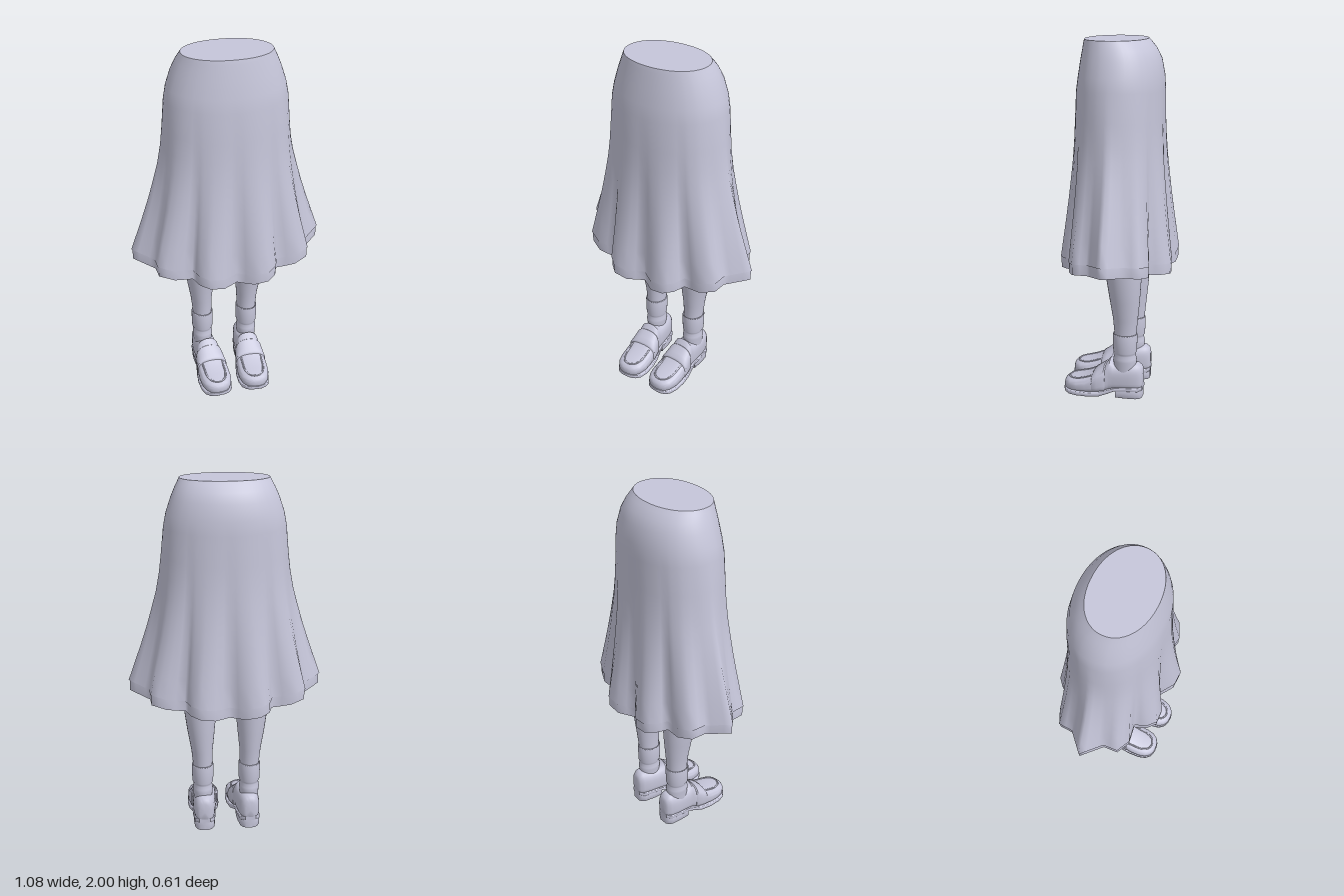
import * as THREE from 'three';
import { toCreasedNormals } from 'three/addons/utils/BufferGeometryUtils.js';

const V = (x, y, z) => new THREE.Vector3(x, y, z);
const lerp = THREE.MathUtils.lerp;

// Skin a list of closed rings, optionally capping the first and last
function loft(rings, capStart, capEnd) {
  const n = rings[0].length, pos = [], idx = [];
  rings.forEach(r => r.forEach(p => pos.push(p.x, p.y, p.z)));
  for (let i = 0; i < rings.length - 1; i++) {
    for (let j = 0; j < n; j++) {
      const k = (j + 1) % n, a = i * n + j, b = i * n + k;
      idx.push(a, b, a + n, b, b + n, a + n);
    }
  }
  const cap = (ring, start) => {
    const base = pos.length / 3, c = V(0, 0, 0);
    ring.forEach(p => { c.add(p); pos.push(p.x, p.y, p.z); });
    c.divideScalar(n);
    pos.push(c.x, c.y, c.z);
    for (let j = 0; j < n; j++) {
      const a = base + j, b = base + (j + 1) % n;
      if (start) idx.push(base + n, b, a); else idx.push(base + n, a, b);
    }
  };
  if (capStart) cap(rings[0], true);
  if (capEnd) cap(rings[rings.length - 1], false);
  const g = new THREE.BufferGeometry();
  g.setAttribute('position', new THREE.Float32BufferAttribute(pos, 3));
  g.setIndex(idx);
  g.computeVertexNormals();
  return g;
}

// ---- skirt: an oval waist blending into a ten-fold pleated hem ----
// One quarter of the hem: [angle on the hips, x, z]
const HEM = [
  [0, 0.54, 0], [9, 0.475, 0.058], [18, 0.43, 0.098], [34, 0.425, 0.18], [46, 0.345, 0.217],
  [54, 0.24, 0.2], [62, 0.215, 0.265], [72, 0.165, 0.307], [81, 0.085, 0.303], [90, 0, 0.243],
];
// Hip rows: [y, half width, front z, back z, pleat amount]
const ROWS = [
  [2, 0.24, 0.19, -0.145, 0], [1.98, 0.25, 0.195, -0.165, 0], [1.95, 0.266, 0.2, -0.19, 0],
  [1.9, 0.288, 0.21, -0.217, 0], [1.82, 0.315, 0.223, -0.233, 0], [1.75, 0.327, 0.232, -0.236, 0.01],
  [1.6, 0.332, 0.235, -0.235, 0.06], [1.5, 0.332, 0.235, -0.235, 0.12], [1.4, 0.332, 0.235, -0.235, 0.21],
  [1.3, 0.332, 0.235, -0.235, 0.34], [1.2, 0.332, 0.235, -0.235, 0.48], [1.1, 0.332, 0.235, -0.235, 0.64],
  [1, 0.332, 0.235, -0.235, 0.81], [0.89, 0.332, 0.235, -0.235, 1],
];

// Point k of 72 around the hem
function hemPoint(k) {
  const q = Math.floor(k / 18), r = (q % 2 ? 18 - (k % 18) : k % 18) / 2;
  const a = HEM[Math.floor(r)], b = HEM[Math.ceil(r)];
  const [t, x, z] = a.map((v, i) => (v + b[i]) / 2);
  return { t: THREE.MathUtils.degToRad(t), x, z, sx: q === 1 || q === 2 ? -1 : 1, sz: q > 1 ? -1 : 1 };
}

function skirtRing([y, w, front, back, pleat], drop = 0, scale = 1) {
  const ring = [];
  for (let k = 0; k < 72; k++) {
    const h = hemPoint(k), mid = (front + back) / 2, depth = (front - back) / 2;
    const bx = w * Math.cos(h.t) ** 0.95, bz = depth * Math.sin(h.t) ** 0.95;
    const hemY = 0.8 + 0.09 * (h.x / 0.54) ** 1.3;
    ring.push(V(
      h.sx * lerp(bx, h.x, pleat) * scale,
      2 - (2 - y) / 1.11 * (2 - hemY) - drop,
      (mid * (1 - pleat) + h.sz * lerp(bz, h.z, pleat)) * scale));
  }
  return ring;
}

// ---- legs and shoes ----
// Horizontal ring for legs and socks
function roundRing(x, y, z, rx, rz) {
  return Array.from({ length: 28 }, (_, i) => {
    const t = i / 28 * Math.PI * 2;
    return V(x + rx * Math.cos(t), y, z + rz * Math.sin(t));
  });
}

// Upright section for shoe parts, with its own squareness above and below
function section([z, w, y0, y1], eTop, eLow) {
  return Array.from({ length: 32 }, (_, i) => {
    const t = i / 32 * Math.PI * 2, c = Math.cos(t), s = Math.sin(t), e = s > 0 ? eTop : eLow;
    const f = v => Math.sign(v) * Math.abs(v) ** e;
    return V(w * f(c), (y0 + y1) / 2 + (y1 - y0) / 2 * f(s), z);
  });
}
const shoePart = (stations, eTop, eLow) =>
  toCreasedNormals(loft(stations.map(s => section(s, eTop, eLow)), true, true), 0.75);

// Stations run heel to toe: [z, half width, bottom, top]
const UPPER = [
  [-0.154, 0.028, 0.07, 0.165], [-0.147, 0.042, 0.06, 0.19], [-0.125, 0.055, 0.055, 0.205],
  [-0.08, 0.063, 0.052, 0.203], [-0.03, 0.065, 0.05, 0.198], [0.01, 0.066, 0.045, 0.2],
  [0.032, 0.066, 0.04, 0.222], [0.042, 0.068, 0.036, 0.214], [0.06, 0.072, 0.03, 0.185],
  [0.1, 0.08, 0.024, 0.155], [0.13, 0.086, 0.022, 0.135], [0.17, 0.089, 0.02, 0.115],
  [0.22, 0.088, 0.02, 0.1], [0.26, 0.078, 0.02, 0.093], [0.285, 0.06, 0.022, 0.085],
  [0.299, 0.038, 0.026, 0.073], [0.304, 0.016, 0.032, 0.06],
];
const STRAP = [
  [0.055, 0.073, 0.03, 0.19], [0.062, 0.079, 0.028, 0.194], [0.1, 0.086, 0.024, 0.164],
  [0.125, 0.09, 0.024, 0.147], [0.131, 0.086, 0.024, 0.136],
];
const SOLE = [
  [-0.154, 0.032, 0.05, 0.075], [-0.13, 0.057, 0.045, 0.07], [-0.06, 0.066, 0.045, 0.068],
  [0, 0.068, 0.04, 0.062], [0.04, 0.073, 0.022, 0.048], [0.09, 0.083, 0.004, 0.032],
  [0.15, 0.092, 0, 0.028], [0.22, 0.092, 0, 0.028], [0.265, 0.08, 0, 0.028],
  [0.29, 0.06, 0.004, 0.03], [0.303, 0.036, 0.008, 0.032], [0.307, 0.016, 0.012, 0.03],
];
const HEEL = [
  [-0.152, 0.026, 0, 0.06], [-0.142, 0.044, 0, 0.06], [-0.12, 0.056, 0, 0.06],
  [-0.06, 0.062, 0, 0.06], [-0.004, 0.062, 0, 0.06],
];

export function createModel() {
  const model = new THREE.Group();
  model.name = 'skirtedLegs';
  const clay = new THREE.MeshStandardMaterial({ color: 0xc6c6da, side: THREE.DoubleSide });
  clay.name = 'pale lavender';
  const add = (parent, name, geometry) => {
    const m = new THREE.Mesh(geometry, clay);
    m.name = name;
    parent.add(m);
    return m;
  };

  // Outer skirt with a flat closed waist
  add(model, 'skirt', loft(ROWS.map(r => skirtRing(r)), true, false));
  // Longer lining peeping out below the hem
  add(model, 'lining', loft(
    [[ROWS[11], 0], [ROWS[12], 0], [ROWS[13], 0], [ROWS[13], 0.06]]
      .map(([r, drop]) => skirtRing(r, drop, 0.988)), false, false));

  for (const s of [1, -1]) {
    const side = s > 0 ? 'left' : 'right';
    // Leg: [y, x, z, x radius, z radius] from thigh to ankle
    add(model, side + 'Leg', loft([
      [1.7, 0.15, -0.02, 0.12, 0.13], [1.2, 0.15, -0.03, 0.108, 0.12], [1, 0.148, -0.035, 0.098, 0.11],
      [0.82, 0.147, -0.04, 0.096, 0.105], [0.7, 0.145, -0.045, 0.09, 0.097], [0.58, 0.142, -0.05, 0.076, 0.084],
      [0.47, 0.138, -0.053, 0.061, 0.07], [0.38, 0.135, -0.052, 0.055, 0.062], [0.3, 0.135, -0.05, 0.053, 0.06],
    ].map(([y, x, z, rx, rz]) => roundRing(s * x, y, z, rx, rz)), true, true));

    // Sock with a folded cuff and a wrinkle above the shoe
    add(model, side + 'Sock', loft([
      [0.372, 0.052, 0.06], [0.383, 0.058, 0.066], [0.376, 0.062, 0.069], [0.33, 0.062, 0.069],
      [0.275, 0.06, 0.067], [0.265, 0.055, 0.062], [0.255, 0.053, 0.06], [0.235, 0.057, 0.065],
      [0.22, 0.058, 0.067], [0.205, 0.055, 0.065], [0.15, 0.052, 0.063],
    ].map(([y, rx, rz]) => roundRing(s * 0.135, y, -0.05, rx, rz)), false, true));

    // Loafer
    const shoe = new THREE.Group();
    shoe.name = side + 'Shoe';
    shoe.position.x = s * 0.125;
    shoe.rotation.y = -s * 0.05;
    add(shoe, 'upper', shoePart(UPPER, 0.8, 0.45));
    add(shoe, 'strap', shoePart(STRAP, 0.8, 0.45));
    add(shoe, 'sole', shoePart(SOLE, 0.25, 0.25));
    add(shoe, 'heel', shoePart(HEEL, 0.15, 0.15));
    // Raised seam around the toe
    const seam = new THREE.CatmullRomCurve3([
      V(-0.06, 0.122, 0.135), V(-0.058, 0.108, 0.17), V(-0.055, 0.095, 0.22), V(-0.035, 0.09, 0.263),
      V(0, 0.088, 0.277),
      V(0.035, 0.09, 0.263), V(0.055, 0.095, 0.22), V(0.058, 0.108, 0.17), V(0.06, 0.122, 0.135)]);
    add(shoe, 'toeSeam', new THREE.TubeGeometry(seam, 32, 0.005, 6));
    model.add(shoe);
  }
  return model;
}
